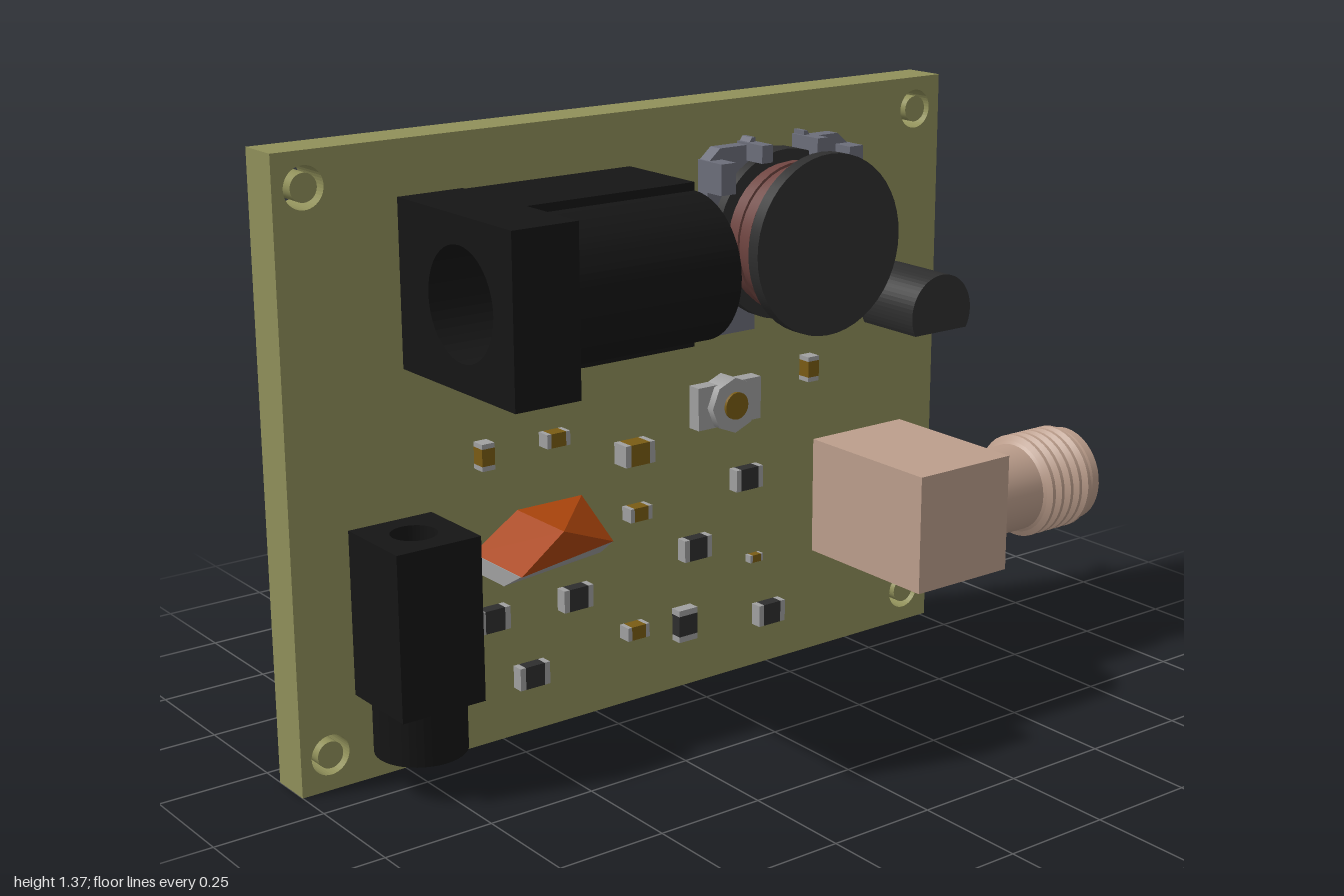
import * as THREE from 'three';
import { ConvexGeometry } from 'three/addons/geometries/ConvexGeometry.js';

const mat = (c, side = THREE.FrontSide) => new THREE.MeshStandardMaterial({ color: c, side });
const M = {
  board: mat(0x90905a), black: mat(0x151515), dark: mat(0x2e2e2e), grey: mat(0xa0a0a0),
  steel: mat(0x6c6e7a), copper: mat(0x6e4440), tan: mat(0xbc9e8c, THREE.DoubleSide),
  brown: mat(0x7a5c14), orange: mat(0xa8430c),
};
const BACK = -0.19, FRONT = -0.09;

export function createModel() {
  const root = new THREE.Group();
  const add = (name, geo, m, x = 0, y = 0, z = 0, parent = root) => {
    const mesh = new THREE.Mesh(geo, m);
    mesh.name = name;
    mesh.position.set(x, y, z);
    parent.add(mesh);
    return mesh;
  };
  // box given by its min and max on each axis
  const box = (name, m, x0, x1, y0, y1, z0, z1, parent) =>
    add(name, new THREE.BoxGeometry(x1 - x0, y1 - y0, z1 - z0), m,
      (x0 + x1) / 2, (y0 + y1) / 2, (z0 + z1) / 2, parent);
  // cylinder along z
  const discZ = (name, m, x, y, z0, z1, r, n = 32, parent) =>
    add(name, new THREE.CylinderGeometry(r, r, z1 - z0, n).rotateX(Math.PI / 2), m, x, y, (z0 + z1) / 2, parent);
  const extrude = (shape, depth) =>
    new THREE.ExtrudeGeometry(shape, { depth, bevelEnabled: false, curveSegments: 20 });
  const hole = (x, y, r) => new THREE.Path().absarc(x, y, r, 0, Math.PI * 2, true);
  const poly = (pts) => new THREE.Shape(pts.map(p => new THREE.Vector2(p[0], p[1])));
  const rect = (x0, x1, y0, y1) => poly([[x0, y0], [x1, y0], [x1, y1], [x0, y1]]);
  const hull = (pts) => new ConvexGeometry(pts.map(p => new THREE.Vector3(...p)));

  // circuit board with mounting holes and power jack slots
  const corners = [[-0.93, 1.29], [0.69, 1.29], [-0.93, 0.08], [0.69, 0.08]];
  const slots = [[-0.16, 1.065], [-0.37, 1.065], [-0.28, 0.87]];
  const board = rect(-1, 0.765, 0, 1.365);
  corners.forEach(([x, y]) => board.holes.push(hole(x, y, 0.045)));
  slots.forEach(([x, y]) => board.holes.push(hole(x, y, 0.057)));
  add('board', extrude(board, 0.1), M.board, 0, 0, BACK);
  corners.forEach(([x, y]) => discZ('mountingHoleCore', M.board, x, y, BACK, FRONT, 0.03));

  // power jack, axis along x; profiles are drawn as (-z, y) and turned onto x
  const power = new THREE.Group();
  power.name = 'powerJack';
  root.add(power);
  const alongX = (shape, len) => extrude(shape, len).rotateY(Math.PI / 2);
  const flange = rect(-0.33, 0.09, 0.887, 1.247);
  flange.holes.push(hole(-0.14, 1.067, 0.12));
  add('jackFlange', alongX(flange, 0.155), M.black, -0.72, 0, 0, power);
  const bodyShape = () => {
    const s = new THREE.Shape();
    s.moveTo(0.09, 0.89);
    s.lineTo(0.09, 1.245);
    s.lineTo(-0.14, 1.245);
    s.lineTo(-0.14, 1.227);
    s.absarc(-0.14, 1.067, 0.16, Math.PI / 2, Math.PI * 1.5, false);
    s.lineTo(-0.14, 0.89);
    return s;
  };
  const sleeve = bodyShape();
  sleeve.holes.push(hole(-0.14, 1.067, 0.12));
  add('jackSleeve', alongX(sleeve, 0.345), M.black, -0.565, 0, 0, power);
  add('jackEnd', alongX(bodyShape(), 0.08), M.black, -0.22, 0, 0, power);
  add('jackPin', new THREE.CylinderGeometry(0.04, 0.04, 0.4, 20).rotateZ(Math.PI / 2),
    M.grey, -0.42, 1.067, 0.14, power);
  // round-ended solder tabs reaching through the board
  slots.forEach(([x, y], i) => {
    const s = new THREE.Shape();
    s.moveTo(0.055, -0.05);
    s.lineTo(0.055, 0.115);
    s.absarc(0, 0.115, 0.055, 0, Math.PI, false);
    s.lineTo(-0.055, -0.05);
    const tab = add('jackTab', extrude(s, 0.015).translate(0, 0, -0.0075).rotateX(-Math.PI / 2),
      M.grey, x, y, FRONT, power);
    if (i < 2) tab.rotation.z = Math.PI / 2;
  });

  // audio jack, open along y
  const audio = new THREE.Group();
  audio.name = 'audioJack';
  root.add(audio);
  const alongY = (shape, len) => extrude(shape, len).rotateX(-Math.PI / 2);
  const shell = rect(-0.865, -0.665, -0.105, 0.09);
  shell.holes.push(hole(-0.765, -0.005, 0.05));
  add('audioBody', alongY(shell, 0.365), M.black, 0, 0.2, 0, audio);
  const snout = new THREE.Shape().absarc(-0.765, -0.005, 0.1, 0, Math.PI * 2);
  snout.holes.push(hole(-0.765, -0.005, 0.05));
  add('audioSnout', alongY(snout, 0.115), M.black, 0, 0.085, 0, audio);
  box('audioPin', M.grey, -0.785, -0.745, 0.553, 0.561, -0.205, FRONT, audio);
  [-0.695, -0.835].forEach(x => box('audioPin', M.grey, x - 0.004, x + 0.004, 0.38, 0.42, -0.2, FRONT, audio));

  // coaxial connector: block, threaded barrel, insulator and pins
  const coax = new THREE.Group();
  coax.name = 'coaxConnector';
  root.add(coax);
  box('coaxBlock', M.tan, 0.39, 0.665, 0.25, 0.53, FRONT, 0.29, coax);
  const prof = [[0.105, 0.66], [0.105, 0.815]];
  for (let i = 0; i < 5; i++) {
    const x = 0.82 + i * 0.03;
    prof.push([0.112, x], [0.125, x + 0.008], [0.125, x + 0.017], [0.112, x + 0.026]);
  }
  prof.push([0.115, 0.975], [0.115, 0.995], [0.093, 0.995], [0.093, 0.9]);
  // separate bands keep every edge of the barrel sharp
  const barrel = [];
  for (let i = 0; i < prof.length - 1; i++) barrel.push([prof[i], prof[i + 1]]);
  barrel.forEach(b => add('coaxBarrel',
    new THREE.LatheGeometry(b.map(p => new THREE.Vector2(p[0], p[1])), 40).rotateZ(-Math.PI / 2),
    M.tan, 0, 0.39, 0.155, coax));
  const rodX = (name, m, r, x0, x1) => add(name,
    new THREE.CylinderGeometry(r, r, x1 - x0, 32).rotateZ(Math.PI / 2), m, (x0 + x1) / 2, 0.39, 0.155, coax);
  rodX('coaxInsulator', M.grey, 0.093, 0.7, 0.96);
  rodX('coaxContact', M.tan, 0.028, 0.9, 0.985);
  [[0.53, 0.39], [0.425, 0.285], [0.425, 0.497], [0.635, 0.285], [0.635, 0.497]].forEach(([x, y]) =>
    discZ('coaxPin', M.tan, x, y, -0.23, FRONT, 0.024, 6, coax));

  // wound inductor on a clipped base
  const coil = new THREE.Group();
  coil.name = 'inductor';
  coil.position.set(0.25, 1.055, 0);
  root.add(coil);
  discZ('coilBase', M.dark, 0, 0, -0.08, -0.03, 0.195, 40, coil);
  discZ('coilCap', M.dark, 0, 0, 0.09, 0.122, 0.205, 48, coil);
  for (let i = 0; i < 6; i++) {
    discZ('winding', M.copper, 0, 0, -0.03 + i * 0.02, -0.01 + i * 0.02, i % 2 ? 0.172 : 0.166, 40, coil);
  }
  [-1, 1].forEach(s => {
    const clip = poly([[0.07, -0.215], [0.18, -0.215], [0.205, -0.18], [0.205, -0.07], [0.22, -0.05], [0.22, 0.05],
      [0.205, 0.07], [0.205, 0.18], [0.17, 0.21], [0.09, 0.21], [0.08, 0.225], [0.07, 0.225]]
      .map(p => [p[0] * s, p[1]]));
    add('coilClip', extrude(clip, 0.035), M.steel, 0, 0, FRONT, coil);
    box('clipWall', M.steel, s * 0.2 - 0.012, s * 0.2 + 0.012, -0.08, 0.08, FRONT, -0.045, coil);
    [-1, 1].forEach(t => box('clipFinger', M.steel, s * 0.185 - 0.02, s * 0.185 + 0.02,
      t * 0.15 - 0.035, t * 0.15 + 0.035, FRONT, -0.005, coil));
    box('clipHook', M.steel, s * 0.08 - 0.015, s * 0.08 + 0.015, 0.175, 0.215, FRONT, 0, coil);
  });

  // D-shaped transistor with three legs
  const a = Math.asin(0.045 / 0.092);
  const dee = new THREE.Shape().absarc(0, 0, 0.092, -a, Math.PI + a, false);
  add('transistor', extrude(dee, 0.18), M.dark, 0.625, 0.838, FRONT);
  [0.575, 0.627, 0.68].forEach((x, i) => {
    const y = i === 1 ? 0.872 : 0.848;
    box('transistorLeg', M.grey, x - 0.009, x + 0.009, y - 0.009, y + 0.009, -0.255, FRONT);
  });

  // trimmer
  box('trimmerBase', M.grey, 0.02, 0.2, 0.625, 0.725, FRONT, -0.055);
  discZ('trimmerRing', M.grey, 0.11, 0.675, FRONT, -0.035, 0.065, 8);
  discZ('trimmerScrew', M.brown, 0.11, 0.675, FRONT, -0.028, 0.032, 20);

  // wedge-shaped switch with flat legs
  add('switchTop', hull([[-0.565, 0.45, 0.1], [-0.45, 0.525, 0.09], [-0.28, 0.525, FRONT], [-0.28, 0.45, 0.03],
    [-0.565, 0.45, FRONT], [-0.45, 0.525, FRONT]]), M.orange);
  add('switchBase', hull([[-0.565, 0.449, 0.095], [-0.28, 0.449, 0.028], [-0.565, 0.449, FRONT], [-0.28, 0.449, FRONT],
    [-0.565, 0.41, 0.03], [-0.28, 0.41, -0.02], [-0.565, 0.41, FRONT], [-0.28, 0.41, FRONT]]), M.grey);
  [-0.528, -0.425, -0.322].forEach(x =>
    box('switchLeg', M.grey, x - 0.018, x + 0.018, 0.462, 0.468, -0.33, FRONT));

  // surface-mount chips: centre, length, width, height; turned = lengthwise along y
  const chip = (name, m, x, y, l, w, h, turned) => {
    const g = new THREE.Group();
    g.name = name;
    g.position.set(x, y, FRONT);
    if (turned) g.rotation.z = Math.PI / 2;
    root.add(g);
    box('chipBody', m, -l * 0.32, l * 0.32, -w / 2, w / 2, 0, h, g);
    [-1, 1].forEach(s => add('chipEnd', new THREE.BoxGeometry(l * 0.18, w, h), M.grey, s * l * 0.41, 0, h / 2, g));
  };
  [[-0.53, 0.295], [-0.31, 0.295], [0.175, 0.48], [0.025, 0.34], [-0.43, 0.14], [0.245, 0.13], [-0.005, 0.16, true]]
    .forEach(([x, y, t]) => chip('resistor', M.dark, x, y, 0.078, 0.052, 0.028, t));
  [[-0.36, 0.675], [-0.14, 0.46], [-0.15, 0.178], [-0.54, 0.67, true], [0.36, 0.715, true]]
    .forEach(([x, y, t]) => chip('capacitor', M.brown, x, y, 0.06, 0.032, 0.033, t));
  chip('largeCapacitor', M.brown, -0.15, 0.605, 0.08, 0.05, 0.045);
  chip('tinyCapacitor', M.brown, 0.205, 0.275, 0.038, 0.018, 0.018);

  return root;
}
